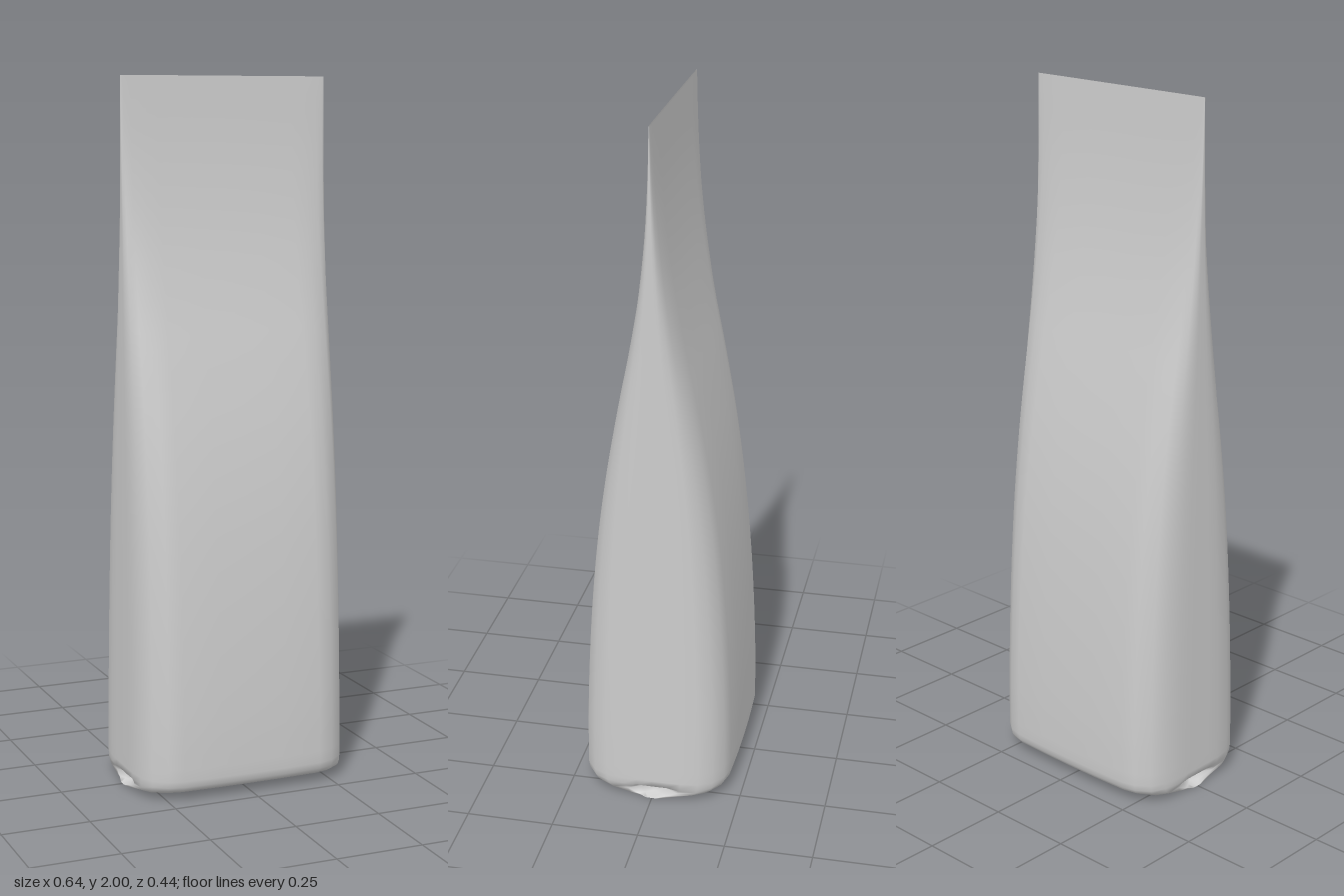
import * as THREE from 'three';

// Quarter of the pouch cross-section, from the side (+x) round to the front (+z)
const QUARTER = [
  [0.318, 0], [0.318, 0.045], [0.317, 0.085], [0.31, 0.135], [0.29, 0.175],
  [0.252, 0.203], [0.21, 0.214], [0.1, 0.218], [0, 0.219],
];

// Mirror the quarter into a closed ring
function fullRing() {
  const half = [...QUARTER, ...QUARTER.slice(0, -1).reverse().map(([x, z]) => [-x, z])];
  return [...half, ...half.slice(1, -1).reverse().map(([x, z]) => [x, -z])];
}

// Each level: height, width scale, depth scale, inward tuck of the side pleat
function levels() {
  const base = [
    [0, 0.99, 0.002, 0], [0, 0.99, 0.22, 0], [0.008, 0.99, 0.5, 0.03],
    [0.02, 0.99, 0.86, 0.05], [0.03, 0.993, 0.95, 0.03], [0.042, 0.997, 0.985, 0],
  ];
  const side = new THREE.CatmullRomCurve3([
    [0.06, 1], [0.2, 0.995], [0.4, 0.96], [0.6, 0.9], [0.8, 0.81], [1, 0.68],
    [1.2, 0.51], [1.4, 0.32], [1.6, 0.165], [1.8, 0.065], [2, 0.01],
  ].map(([y, d]) => new THREE.Vector3(0, y, d)));
  const body = side.getPoints(40).map((p) => [p.y, 1 - 0.04 * Math.min(1, p.y / 1.6), p.z, 0]);
  return [...base, ...body];
}

// Skin the rings from the folded base to the flat top seam
function pouchGeometry() {
  const ring = fullRing();
  const n = ring.length;
  const rows = levels();
  const position = [];
  const index = [];
  rows.forEach(([y, width, depth, tuck], j) => {
    ring.forEach(([x, z], i) => {
      const pleat = tuck * Math.max(0, 1 - Math.abs(z) / 0.1);
      position.push(x * width - Math.sign(x) * pleat, y, z * depth);
      if (j === rows.length - 1) return;
      const a = j * n + i;
      const b = j * n + (i + 1) % n;
      index.push(a, a + n, b, b, a + n, b + n);
    });
  });
  const geometry = new THREE.BufferGeometry();
  geometry.setAttribute('position', new THREE.Float32BufferAttribute(position, 3));
  geometry.setIndex(index);
  geometry.computeVertexNormals();
  return geometry;
}

export function createModel() {
  const group = new THREE.Group();
  group.name = 'pouch';
  const paper = new THREE.MeshStandardMaterial({ color: 0xcccccc, side: THREE.DoubleSide });
  paper.name = 'light grey';
  const body = new THREE.Mesh(pouchGeometry(), paper);
  body.name = 'pouchBody';
  group.add(body);
  return group;
}
